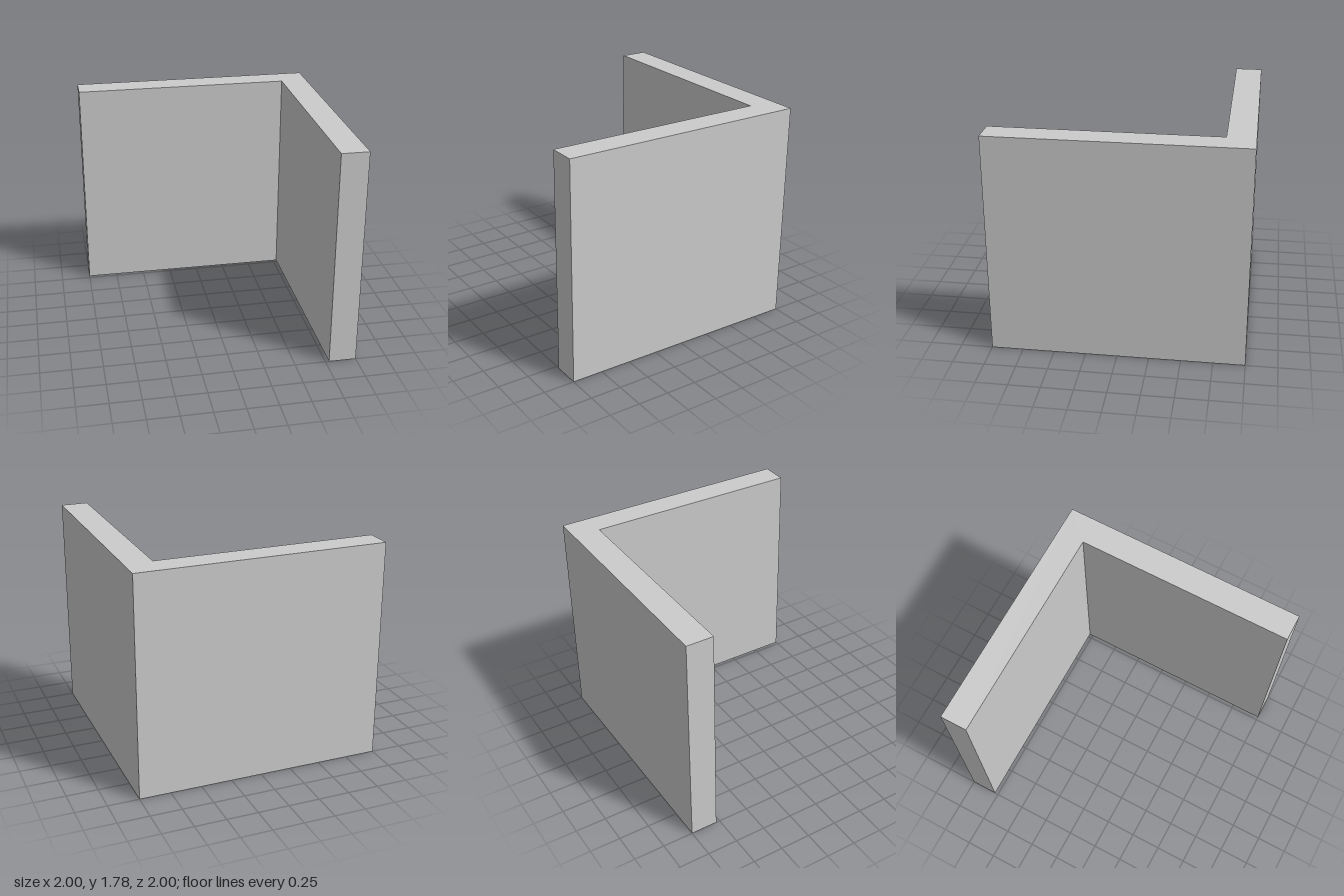
import * as THREE from 'three';

export function createModel() {
  const height = 1.78;
  const inner = 0.78; // inner faces sit here, leaving walls 0.22 thick

  // L-shaped plan, drawn with shape y = -z
  const plan = new THREE.Shape([
    [-1, 1], [-1, inner], [inner, inner], [inner, -1], [1, -1], [1, 1],
  ].map(([x, y]) => new THREE.Vector2(x, y)));

  // Raise the plan straight up from the floor
  const geometry = new THREE.ExtrudeGeometry(plan, { depth: height, bevelEnabled: false });
  geometry.rotateX(-Math.PI / 2);

  const walls = new THREE.Mesh(geometry, new THREE.MeshStandardMaterial({ color: 0xcccccc }));
  walls.name = 'cornerWalls';

  const group = new THREE.Group();
  group.name = 'cornerWall';
  group.add(walls);
  return group;
}
